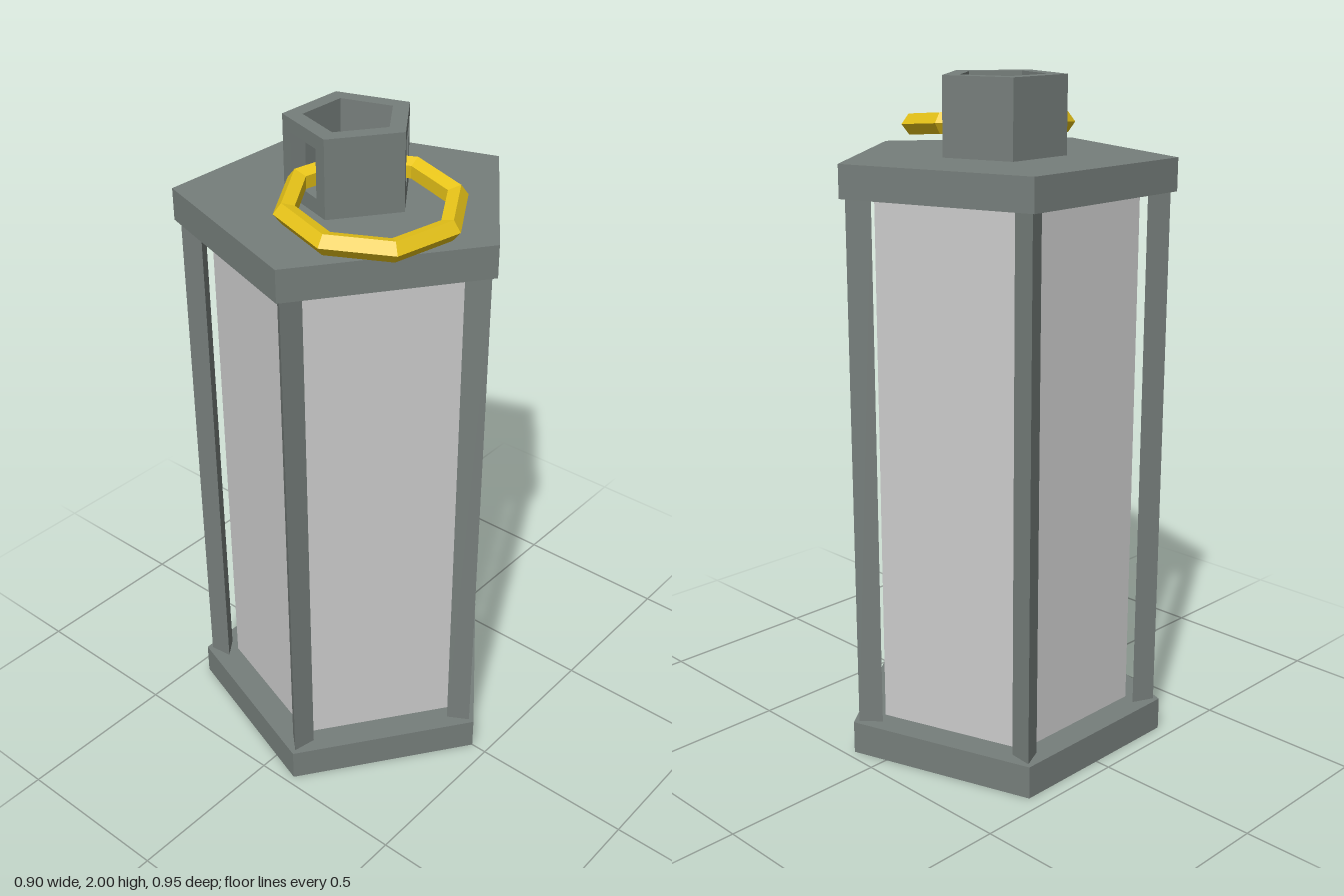
import * as THREE from 'three';

const STEP = (Math.PI * 2) / 5;
const AXIS_X = -0.049; // pentagon axis, shifted so the bounding box is centred

const material = (color) => new THREE.MeshStandardMaterial({ color, flatShading: true });

// Upright prism with one corner pointing to +x, standing from y0 to y1
function prism(name, radius, sides, y0, y1, mat) {
  const geo = new THREE.CylinderGeometry(radius, radius, y1 - y0, sides, 1, false, Math.PI / 2);
  geo.translate(0, (y0 + y1) / 2, 0);
  const mesh = new THREE.Mesh(geo, mat);
  mesh.name = name;
  return mesh;
}

// One mitred side of the hollow neck, with an optional window
function neckWall(outerR, innerR, y0, y1, hasWindow, mat) {
  const half = outerR * Math.sin(STEP / 2);
  const innerHalf = innerR * Math.sin(STEP / 2);
  const outerD = outerR * Math.cos(STEP / 2);
  const innerD = innerR * Math.cos(STEP / 2);
  const shape = new THREE.Shape([
    new THREE.Vector2(-half, y0), new THREE.Vector2(half, y0),
    new THREE.Vector2(half, y1), new THREE.Vector2(-half, y1),
  ]);
  if (hasWindow) {
    const w = 0.066, b = 1.82, t = 1.96;
    shape.holes.push(new THREE.Path([
      new THREE.Vector2(-w, b), new THREE.Vector2(-w, t),
      new THREE.Vector2(w, t), new THREE.Vector2(w, b),
    ]));
  }
  const geo = new THREE.ExtrudeGeometry(shape, { depth: outerD - innerD, bevelEnabled: false });
  // Pull the inner side's ends in to form the mitre
  const pos = geo.attributes.position;
  for (let i = 0; i < pos.count; i++) {
    const x = pos.getX(i);
    if (pos.getZ(i) < 1e-4 && Math.abs(x) > half - 1e-4) pos.setX(i, Math.sign(x) * innerHalf);
  }
  geo.translate(0, 0, innerD);
  geo.computeVertexNormals();
  return new THREE.Mesh(geo, mat);
}

export function createModel() {
  const model = new THREE.Group();
  model.name = 'lantern';
  const metal = material(0x767e7b);
  const glassMat = material(0xcccccc);
  const gold = material(0xe8c418);

  const body = new THREE.Group();
  body.name = 'body';
  body.position.x = AXIS_X;
  model.add(body);

  // Base, glass and cap
  body.add(prism('base', 0.499, 5, 0, 0.1, metal));
  body.add(prism('glass', 0.395, 5, 0.1, 1.68, glassMat));
  body.add(prism('cap', 0.499, 5, 1.68, 1.775, metal));

  // Triangular corner posts
  for (let i = 0; i < 5; i++) {
    const a = i * STEP;
    const post = prism('cornerPost', 0.041, 3, 0.1, 1.68, metal);
    post.position.set(0.44 * Math.cos(a), 0, 0.44 * Math.sin(a));
    post.rotation.y = -a;
    body.add(post);
  }

  // Hollow neck, with windows in the two sides the ring passes through
  const neck = new THREE.Group();
  neck.name = 'neck';
  for (let i = 0; i < 5; i++) {
    const wall = neckWall(0.186, 0.131, 1.775, 2, i === 1 || i === 4, metal);
    wall.name = 'neckWall';
    wall.rotation.y = Math.PI / 2 - (i + 0.5) * STEP;
    neck.add(wall);
  }
  body.add(neck);

  // Carrying ring, hanging low on the outer side
  const ringGeo = new THREE.TorusGeometry(0.23, 0.032, 5, 8);
  ringGeo.rotateX(-Math.PI / 2);
  const ring = new THREE.Mesh(ringGeo, gold);
  ring.name = 'carryingRing';
  ring.position.set(0.133, 1.842, 0.132);
  ring.rotation.set(0, -STEP / 2, -0.1);
  model.add(ring);

  return model;
}
